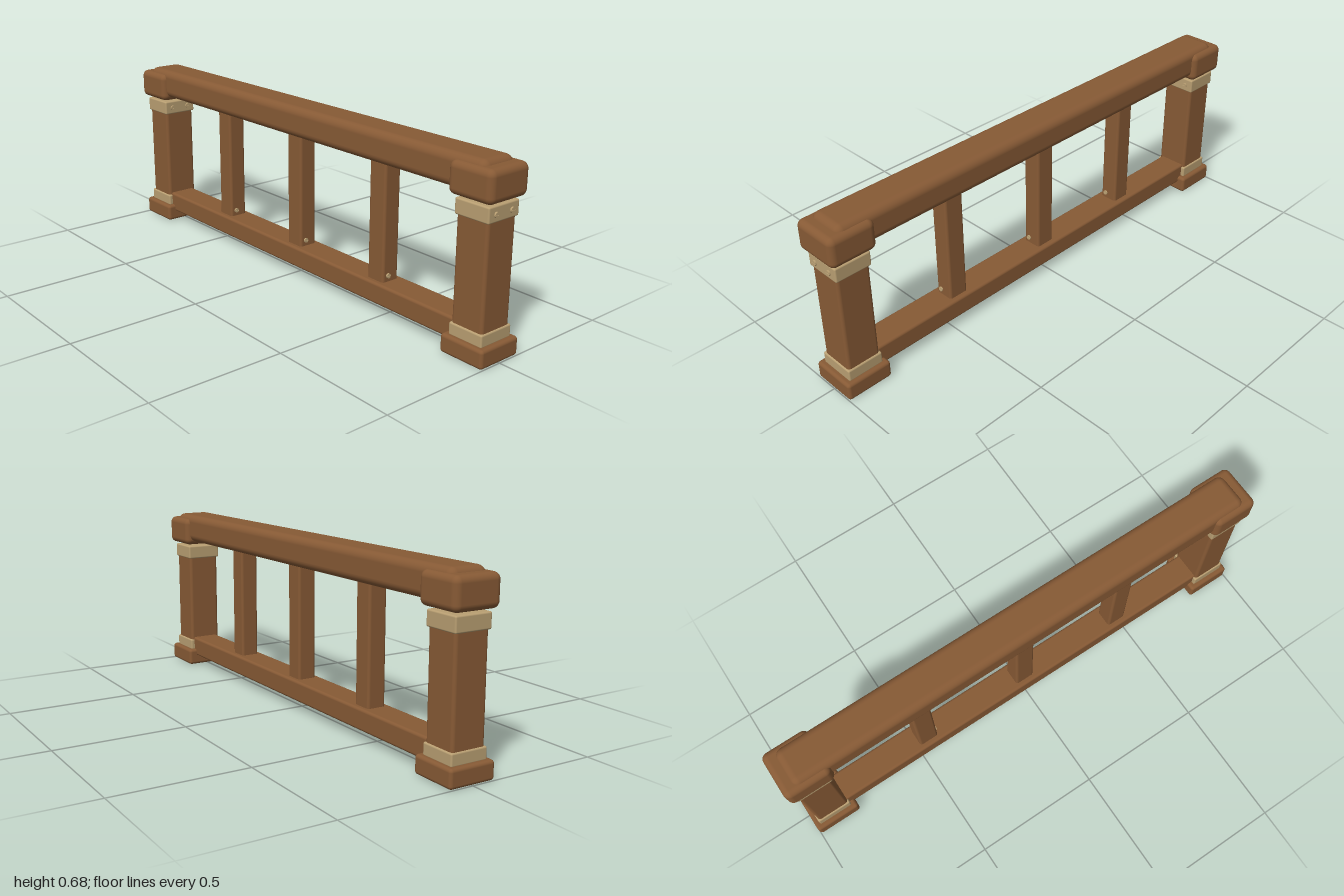
import * as THREE from 'three';
import { RoundedBoxGeometry } from 'three/addons/geometries/RoundedBoxGeometry.js';

const wood = new THREE.MeshStandardMaterial({ name: 'brown wood', color: 0x875a35 });
const tan = new THREE.MeshStandardMaterial({ name: 'tan metal', color: 0xb99f72 });

// Rounded block spanning y0..y1, centred on x = 0 and the given z
function block(name, material, width, y0, y1, depth, radius, z = 0) {
  const mesh = new THREE.Mesh(new RoundedBoxGeometry(width, y1 - y0, depth, 4, radius), material);
  mesh.name = name;
  mesh.position.set(0, (y0 + y1) / 2, z);
  return mesh;
}

// Slotted screw head facing +z: a thin disc carrying two half discs
function screw(x, y, z, radius) {
  const group = new THREE.Group();
  group.name = 'screw';
  const disc = new THREE.Mesh(new THREE.CylinderGeometry(radius, radius, 0.005, 24), tan);
  disc.name = 'screwDisc';
  disc.rotation.x = Math.PI / 2;
  group.add(disc);
  const gap = Math.asin(0.13);
  const half = new THREE.Shape();
  half.absarc(0, 0, radius, gap, Math.PI - gap, false);
  half.closePath();
  const geometry = new THREE.ExtrudeGeometry(half, { depth: 0.0025, bevelEnabled: false, curveSegments: 16 });
  for (const turn of [0, Math.PI]) {
    const mesh = new THREE.Mesh(geometry, tan);
    mesh.name = 'screwHalf';
    mesh.position.z = 0.0025;
    mesh.rotation.z = turn;
    group.add(mesh);
  }
  group.position.set(x, y, z);
  return group;
}

// End post with foot, two bands and a cap floating just above
function endPost(name, z) {
  const group = new THREE.Group();
  group.name = name;
  group.add(
    block('foot', wood, 0.18, 0, 0.068, 0.18, 0.012),
    block('lowerBand', tan, 0.144, 0.064, 0.11, 0.14, 0.006),
    block('postShaft', wood, 0.133, 0.05, 0.53, 0.13, 0.012),
    block('upperBand', tan, 0.144, 0.481, 0.537, 0.14, 0.006),
    block('cap', wood, 0.184, 0.546, 0.66, 0.18, 0.024),
    screw(-0.038, 0.508, 0.071, 0.01),
    screw(0.037, 0.508, 0.071, 0.01)
  );
  group.position.z = z;
  return group;
}

export function createModel() {
  const model = new THREE.Group();
  model.name = 'railing';

  model.add(endPost('frontPost', 0.91), endPost('backPost', -0.91));

  // Long rails
  model.add(
    block('handrail', wood, 0.151, 0.561, 0.677, 1.914, 0.03),
    block('bottomRail', wood, 0.114, 0.04, 0.12, 1.78, 0.01)
  );

  // Three balusters, each with a screw near its foot
  for (const z of [0.456, 0.002, -0.453]) {
    model.add(
      block('baluster', wood, 0.073, 0.09, 0.6, 0.08, 0.01, z),
      screw(-0.013, 0.143, z + 0.041, 0.009)
    );
  }
  return model;
}
